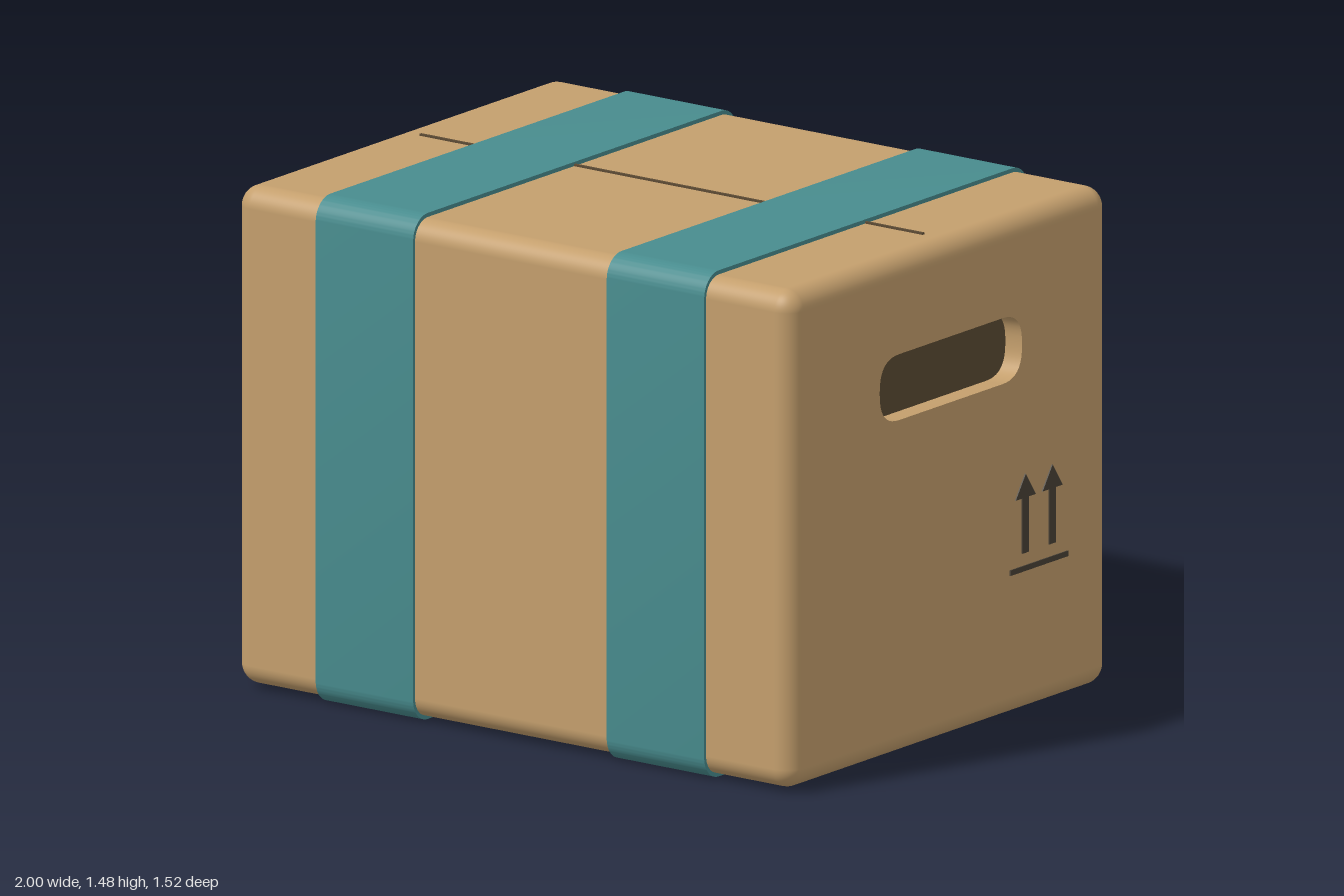
import * as THREE from 'three';
import { RoundedBoxGeometry } from 'three/addons/geometries/RoundedBoxGeometry.js';
import { toCreasedNormals } from 'three/addons/utils/BufferGeometryUtils.js';

const material = (color) => new THREE.MeshStandardMaterial({ color });
const cardboard = material(0xc49f6d);
const tapeTeal = material(0x488c8e);
const darkBrown = material(0x5c4b34);
const ink = material(0x4a4237);
const paper = material(0xd2ccc2);
const black = material(0x222222);

// Box limits
const W = 1.974, H = 1.458, D = 1.5, R = 0.06;
const CX = 0.009, CY = 0.741;

function add(parent, name, geometry, mat) {
  const mesh = new THREE.Mesh(geometry, mat);
  mesh.name = name;
  parent.add(mesh);
  return mesh;
}

// Rectangle with rounded corners, centred on (0, cy)
function roundedRect(w, h, r, cy, Type = THREE.Shape, soft = false) {
  const s = new Type(), x = w / 2, t = cy + h / 2, b = cy - h / 2;
  const corner = (px, py, ex, ey, cx, cyy, a) => {
    if (soft) s.quadraticCurveTo(px, py, ex, ey);
    else s.absarc(cx, cyy, r, a, a + Math.PI / 2, false);
  };
  s.moveTo(-x + r, b);
  s.lineTo(x - r, b);
  corner(x, b, x, b + r, x - r, b + r, -Math.PI / 2);
  s.lineTo(x, t - r);
  corner(x, t, x - r, t, x - r, t - r, 0);
  s.lineTo(-x + r, t);
  corner(-x, t, -x, t - r, -x + r, t - r, Math.PI / 2);
  s.lineTo(-x, b + r);
  corner(-x, b, -x + r, b, -x + r, b + r, Math.PI);
  return s;
}

function polygon(points) {
  return new THREE.Shape(points.map(([x, y]) => new THREE.Vector2(x, y)));
}

function extrude(shape, depth) {
  const g = new THREE.ExtrudeGeometry(shape, { depth, bevelEnabled: false, curveSegments: 10 });
  return toCreasedNormals(g, 0.5);
}

// Rounded box with the flat part of both ends left out
function shellGeometry() {
  const box = new RoundedBoxGeometry(W, H, D, 6, R);
  const p = box.attributes.position, n = box.attributes.normal;
  const pos = [], nor = [];
  for (let i = 0; i < p.count; i += 3) {
    const isEnd = [0, 1, 2].every((k) => Math.abs(p.getX(i + k)) > W / 2 - 1e-5);
    if (isEnd) continue;
    for (let k = i; k < i + 3; k++) {
      pos.push(p.getX(k), p.getY(k), p.getZ(k));
      nor.push(n.getX(k), n.getY(k), n.getZ(k));
    }
  }
  const g = new THREE.BufferGeometry();
  g.setAttribute('position', new THREE.Float32BufferAttribute(pos, 3));
  g.setAttribute('normal', new THREE.Float32BufferAttribute(nor, 3));
  return g;
}

export function createModel() {
  const model = new THREE.Group();
  model.name = 'cardboardBox';

  add(model, 'boxShell', shellGeometry(), cardboard).position.set(CX, CY, 0);

  // End panels, each with a recessed hand hole; local +z points out of the box
  const ends = {};
  const depth = 0.06, holeY = 1.092;
  for (const [side, name] of [[1, 'left'], [-1, 'right']]) {
    const end = new THREE.Group();
    end.name = name + 'End';
    end.position.x = CX + side * W / 2;
    end.rotation.y = side * Math.PI / 2;
    model.add(end);
    ends[name] = end;

    const x = D / 2 - R, b = CY - H / 2 + R, t = CY + H / 2 - R;
    const panel = polygon([[-x, b], [x, b], [x, t], [-x, t]]);
    panel.holes.push(roundedRect(0.668, 0.193, 0.09, holeY, THREE.Path, true));
    add(end, 'endPanel', extrude(panel, depth), cardboard).position.z = -depth;
    add(end, 'handHoleBack', new THREE.PlaneGeometry(0.72, 0.24), darkBrown)
      .position.set(0, holeY, -depth + 0.001);
  }

  // This-way-up mark: two arrows over a bar
  const markDepth = 0.004;
  for (const c of [0.347, 0.473]) {
    const arrow = polygon([
      [c - 0.015, 0.48], [c + 0.015, 0.48], [c + 0.015, 0.642], [c + 0.047, 0.642],
      [c, 0.711], [c - 0.047, 0.642], [c - 0.015, 0.642],
    ]);
    add(ends.left, 'upArrow', extrude(arrow, markDepth), ink);
  }
  add(ends.left, 'arrowBar', new THREE.BoxGeometry(0.271, 0.016, markDepth), ink)
    .position.set(0.4115, 0.435, markDepth / 2);

  // Paper label with a triangle
  add(ends.right, 'label', new THREE.BoxGeometry(0.412, 0.362, 0.018), paper)
    .position.set(0.433, 0.284, 0.009);
  const triangle = polygon([[0.335, 0.188], [0.53, 0.188], [0.4325, 0.382]]);
  add(ends.right, 'labelTriangle', extrude(triangle, 0.005), black).position.z = 0.017;

  // Tape bands wrapped round the box
  const gap = 0.009;
  for (const x of [-0.68, 0.35]) {
    const band = roundedRect(D + gap * 2, H + gap * 2 + 0.006, R + gap, CY);
    band.holes.push(roundedRect(D - 0.004, H - 0.004, R, CY, THREE.Path));
    const tape = add(model, 'tapeBand', extrude(band, 0.345), tapeTeal);
    tape.rotation.y = Math.PI / 2;
    tape.position.x = x;
  }

  // Seam between the top flaps
  add(model, 'topSeam', new THREE.BoxGeometry(1.78, 0.008, 0.008), darkBrown)
    .position.set(CX, CY + H / 2 + 0.002, 0);

  return model;
}
